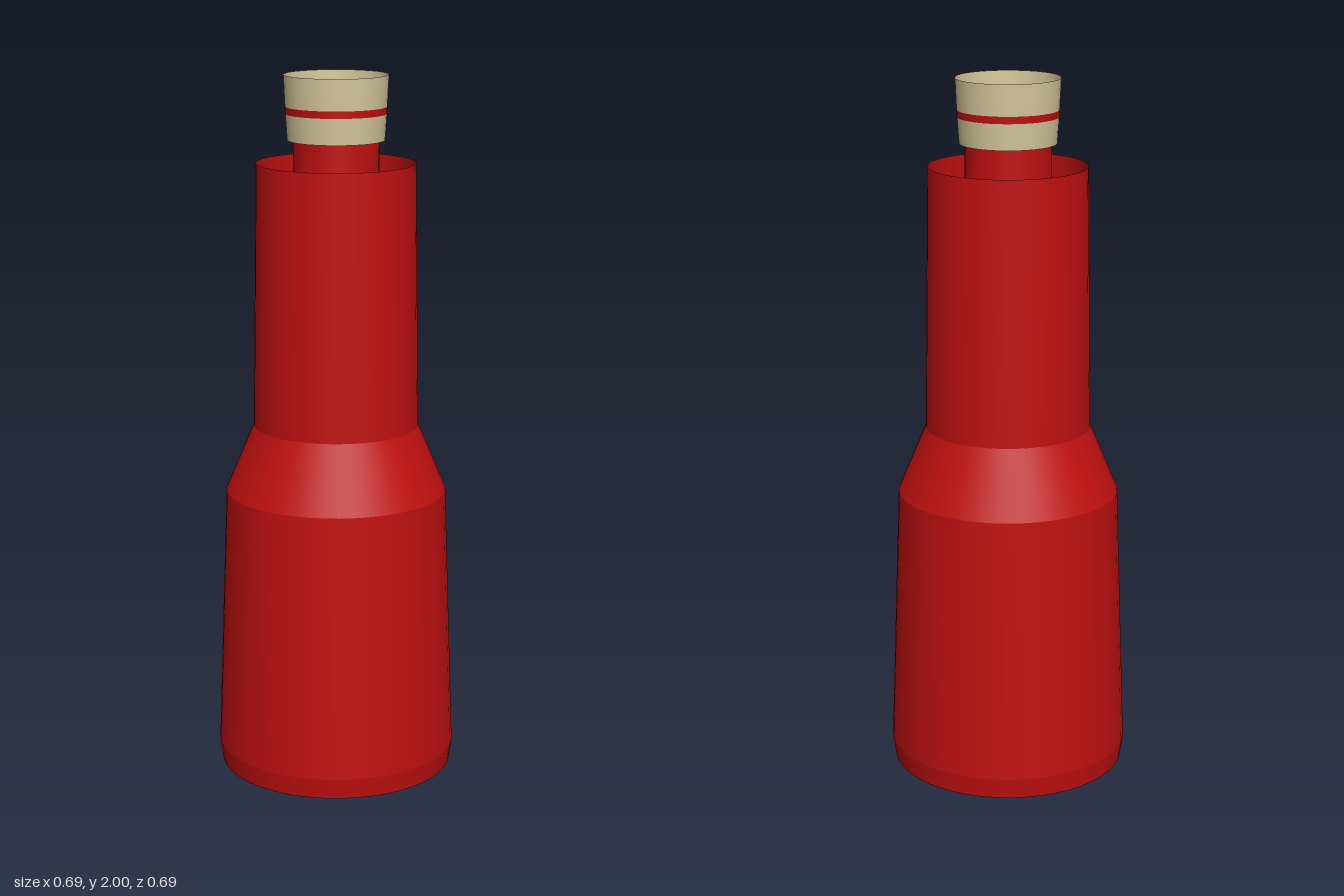
import * as THREE from 'three';
import { mergeGeometries } from 'three/addons/utils/BufferGeometryUtils.js';

const SEGMENTS = 48;

// Turns a profile of [radius, height] points; each straight run keeps crisp edges
function turned(profile) {
  const runs = [];
  for (let i = 0; i < profile.length - 1; i++) {
    const points = [profile[i], profile[i + 1]].map(([r, y]) => new THREE.Vector2(r, y));
    runs.push(new THREE.LatheGeometry(points, SEGMENTS));
  }
  return mergeGeometries(runs);
}

export function createModel() {
  const group = new THREE.Group();
  const red = new THREE.MeshStandardMaterial({ color: 0xc01010, side: THREE.DoubleSide });
  const cream = new THREE.MeshStandardMaterial({ color: 0xd6c79c, side: THREE.DoubleSide });

  const add = (name, profile, material) => {
    const mesh = new THREE.Mesh(turned(profile), material);
    mesh.name = name;
    group.add(mesh);
  };

  // Thin outer sleeve, open at both ends
  add('outerShell', [[0.335, 0], [0.343, 0.06], [0.315, 0.82], [0.235, 1.01], [0.223, 1.757]], red);

  // Hollow tube inside the sleeve, rising into the neck and flaring to the stripe
  add('innerTube', [[0.26, 0], [0.24, 0.82], [0.135, 1.01], [0.12, 1.75], [0.12, 1.83], [0.139, 1.893]], red);

  // Mouth: two cream bands with a red stripe between them
  add('lowerBand', [[0.136, 1.82], [0.141, 1.893]], cream);
  add('stripe', [[0.141, 1.893], [0.142, 1.913]], red);
  add('upperBand', [[0.142, 1.913], [0.146, 2]], cream);

  return group;
}
